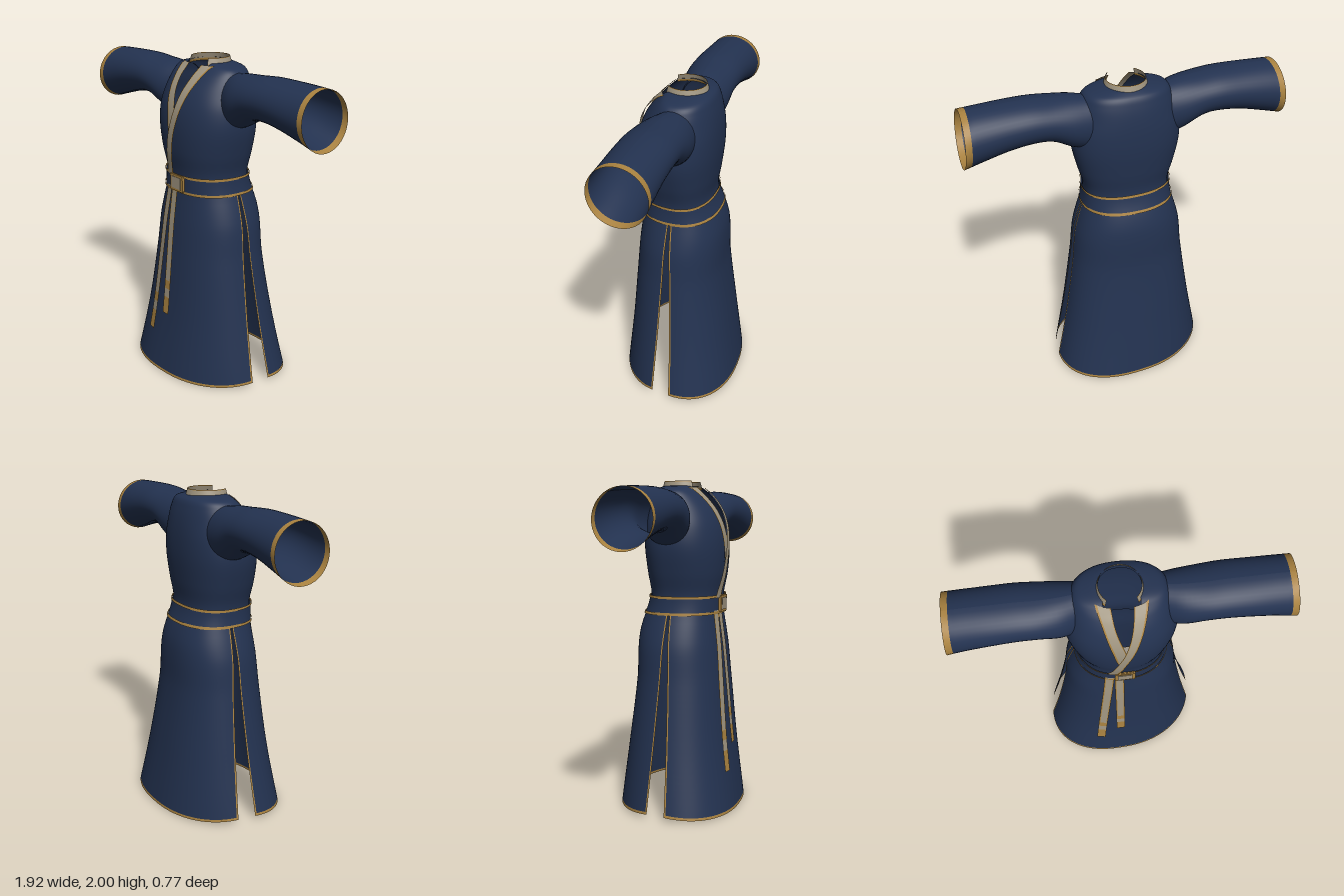
import * as THREE from 'three';

const cloth = (name, color) =>
  Object.assign(new THREE.MeshStandardMaterial({ color, side: THREE.DoubleSide }), { name });

// Smooth lookup in rows of [key, a, b, ...] sorted by key
function lookup(rows, k) {
  const n = rows.length;
  k = Math.min(Math.max(k, rows[0][0]), rows[n - 1][0]);
  let i = 0;
  while (i < n - 2 && k > rows[i + 1][0]) i++;
  const p = rows[i], q = rows[i + 1], h = q[0] - p[0], t = (k - p[0]) / h;
  const slope = (j, c) => {
    const a = rows[Math.max(j - 1, 0)], b = rows[Math.min(j + 1, n - 1)];
    return (b[c] - a[c]) / (b[0] - a[0]);
  };
  return p.slice(1).map((_, m) => {
    const c = m + 1;
    return p[c] * (1 + 2 * t) * (1 - t) ** 2 + slope(i, c) * h * t * (1 - t) ** 2 +
      q[c] * t * t * (3 - 2 * t) + slope(i + 1, c) * h * t * t * (t - 1);
  });
}

// Rounded cross-section: angle 0 is the front, a quarter turn is +x
const E = 0.87;
const bow = (v) => Math.sign(v) * Math.abs(v) ** E;
const ring = (a, [rx, zf, zb]) => {
  const c = Math.cos(a);
  return [rx * bow(Math.sin(a)), (c > 0 ? zf : zb) * bow(c)];
};
const angleAt = (x, rx) =>
  Math.sign(x) * Math.asin(Math.min(Math.abs(x) / rx, 0.99) ** (1 / E));

// Profiles: y, half width, front depth, back depth
const torsoRows = [
  [1.2, 0.265, 0.24, 0.2], [1.32, 0.26, 0.243, 0.18], [1.45, 0.293, 0.265, 0.196],
  [1.6, 0.322, 0.272, 0.21], [1.72, 0.318, 0.258, 0.21], [1.82, 0.29, 0.222, 0.2],
  [1.9, 0.265, 0.165, 0.182], [1.945, 0.232, 0.118, 0.162], [1.965, 0.16, 0.1, 0.13],
  [1.972, 0.115, 0.09, 0.11]];
const skirtRows = [
  [0, 0.505, 0.383, 0.383], [0.4, 0.425, 0.328, 0.322], [0.8, 0.36, 0.288, 0.268],
  [1, 0.337, 0.268, 0.262], [1.1, 0.312, 0.255, 0.252], [1.2, 0.28, 0.242, 0.222],
  [1.24, 0.268, 0.24, 0.205]];
const beltRows = [[1.2, 0.281, 0.25, 0.224], [1.26, 0.272, 0.25, 0.2], [1.32, 0.269, 0.25, 0.184]];

// Neck opening edges: y, x
const openLeft = [[1.32, -0.07], [1.53, -0.022], [1.7, 0.03], [1.87, 0.08], [1.96, 0.1]];
const openRight = [[1.53, -0.022], [1.7, -0.028], [1.87, -0.075], [1.96, -0.1]];

// Collar bands: y, inner x, outer x
const overBand = [[1.3, -0.105, -0.042], [1.53, -0.052, 0.002], [1.7, 0, 0.055],
  [1.87, 0.045, 0.112], [1.962, 0.06, 0.142]];
const underBand = [[1.53, -0.03, -0.036], [1.6, 0.01, -0.052], [1.7, 0.002, -0.07],
  [1.87, -0.045, -0.112], [1.962, -0.06, -0.142]];

// Sleeve: x, top y, bottom y, half depth, centre z
const sleeveRows = [[0.23, 1.925, 1.6, 0.13, -0.01], [0.33, 1.938, 1.628, 0.153, 0.005],
  [0.45, 1.945, 1.69, 0.16, 0.012], [0.56, 1.953, 1.7, 0.163, 0.012],
  [0.7, 1.953, 1.68, 0.165, 0.012], [0.85, 1.949, 1.64, 0.168, 0.01], [0.95, 1.944, 1.61, 0.172, 0.01]];

function torsoFront(x, y) {
  const r = lookup(torsoRows, y);
  return ring(angleAt(x, r[0]), r)[1];
}
function skirtPoint(a, y, grow = 0) {
  const t = Math.max(0, 1 - y / 1.2), wave = 1 - 0.06 * t * t * Math.sin(2 * a);
  const [x, z] = ring(a, lookup(skirtRows, y).map((v) => v + grow));
  return [x * wave, y, z * wave];
}
const skirtFront = (x, y) => skirtPoint(angleAt(x, lookup(skirtRows, y)[0]), y)[2];

export function createModel() {
  const model = new THREE.Group();
  model.name = 'robe';
  const navy = cloth('navy cloth', 0x233250);
  const gold = cloth('gold trim', 0xa8813f);
  const beige = cloth('beige silk', 0xa09580);

  // Surface patch f(u, v) over a rectangle of u and v
  function patch(name, mat, [u0, u1, nu], [v0, v1, nv], f) {
    const pos = [], idx = [];
    for (let j = 0; j <= nv; j++)
      for (let i = 0; i <= nu; i++) {
        pos.push(...f(u0 + (u1 - u0) * i / nu, v0 + (v1 - v0) * j / nv));
        if (i < nu && j < nv) {
          const a = j * (nu + 1) + i, b = a + nu + 1;
          idx.push(a, a + 1, b, a + 1, b + 1, b);
        }
      }
    const g = new THREE.BufferGeometry();
    g.setAttribute('position', new THREE.Float32BufferAttribute(pos, 3));
    g.setIndex(idx);
    g.computeVertexNormals();
    const mesh = new THREE.Mesh(g, mat);
    mesh.name = name;
    model.add(mesh);
  }

  // Torso, open along the wrapped neckline
  patch('torso', navy, [0, 1, 72], [0, 1, 48], (u, v) => {
    const y = 1.2 + 0.772 * (1 - (1 - v) ** 2), r = lookup(torsoRows, y);
    const xl = lookup(openLeft, y)[0];
    const xr = y < 1.53 ? xl : Math.min(xl, lookup(openRight, y)[0]);
    const a0 = angleAt(xl, r[0]), a1 = 2 * Math.PI + angleAt(xr, r[0]);
    const [x, z] = ring(a0 + (a1 - a0) * u, r);
    return [x, y, z];
  });

  // Sleeves with gold cuffs
  for (const s of [1, -1]) {
    const side = s > 0 ? 'left' : 'right';
    const f = (u, x) => {
      const [top, low, rz, zc] = lookup(sleeveRows, x), h = (top - low) / 2;
      const dy = h * Math.cos(u);
      return [s * (x - 0.07 * dy * (x - 0.23) / 0.72), (top + low) / 2 + dy, zc + rz * Math.sin(u)];
    };
    patch(side + 'Sleeve', navy, [0, 2 * Math.PI, 40], [0.23, 0.912, 24], f);
    patch(side + 'Cuff', gold, [0, 2 * Math.PI, 40], [0.912, 0.95, 2], f);
  }

  // Skirt panels, split at both sides, bordered in gold
  for (const front of [true, false]) {
    const name = front ? 'frontSkirt' : 'backSkirt';
    const f = (u, v) => {
      const t = Math.max(0, v), edge = front ? 0.01 + 0.045 * t : 0.06 * t;
      const hem = 0.004 + 0.026 * u * u, y = 1.23 + (hem - 1.23) * v;
      const r = lookup(skirtRows, y);
      const a = Math.acos((edge / (front ? r[1] : r[2])) ** (1 / E));
      return skirtPoint((front ? 0 : Math.PI) + u * a, y);
    };
    patch(name, navy, [-0.982, 0.982, 56], [0, 0.987, 32], f);
    patch(name + 'Hem', gold, [-1, 1, 56], [0.987, 1, 1], f);
    for (const s of [1, -1])
      patch(name + 'SlitTrim', gold, [s * 0.982, s, 1], [0, 0.987, 32], f);
  }
  // Edge of the inner wrap panel
  patch('innerWrapTrim', gold, [-0.226, -0.216, 1], [0.02, 1.2, 24],
    (x, y) => [x, y, skirtFront(x, y) - 0.008]);

  // Belt with two gold cords
  const belt = (grow) => (a, y) => {
    const [x, z] = ring(a, lookup(beltRows, y).map((v) => v + grow));
    return [x, y, z];
  };
  const turn = [0, 2 * Math.PI, 72];
  patch('belt', navy, turn, [1.205, 1.312, 4], belt(0));
  patch('beltLowerTrim', gold, turn, [1.204, 1.22, 1], belt(0.006));
  patch('beltUpperTrim', gold, turn, [1.302, 1.318, 1], belt(0.006));

  // Belt knot
  const box = (name, mat, w, h, d, x, z) => {
    const m = new THREE.Mesh(new THREE.BoxGeometry(w, h, d), mat);
    m.name = name;
    m.position.set(x, 1.262, z);
    model.add(m);
  };
  box('knotFrame', gold, 0.12, 0.1, 0.016, 0, 0.254);
  box('knotPanel', beige, 0.085, 0.072, 0.008, 0, 0.261);

  // Crossed collar bands, beige with gold edges
  const band = (name, rows, off) => {
    const f = (u, y) => {
      const [a, b] = lookup(rows, y), x = a + (b - a) * u;
      return [x, y, torsoFront(x, y) + off];
    };
    const span = [rows[0][0], 1.962, 36];
    patch(name, beige, [0.1, 0.84, 4], span, f);
    patch(name + 'InnerEdge', gold, [0, 0.1, 1], span, f);
    patch(name + 'OuterEdge', gold, [0.84, 1, 1], span, f);
  };
  band('overCollarBand', overBand, 0.016);
  band('underCollarBand', underBand, 0.009);

  // Standing collar round the back of the neck
  const neck = (a, y) => {
    const r = 0.128 - 0.3 * (y - 1.955);
    return [r * Math.sin(a), y, r * Math.cos(a) - 0.004];
  };
  const arc = [0.75, 2 * Math.PI - 0.75, 40];
  patch('neckCollar', beige, arc, [1.964, 1.995, 2], neck);
  patch('neckCollarLowerEdge', gold, arc, [1.95, 1.964, 1], neck);
  patch('neckCollarRim', gold, arc, [1.995, 2, 1], neck);

  // Hanging sash tails with gold bands at the ends
  const tail = (name, xTop, xEnd, yEnd, bands) => {
    const f = (u, y) => {
      const x = xTop + (xEnd - xTop) * (1.225 - y) / (1.225 - yEnd) + u * 0.056;
      return [x, y, skirtFront(x, y) + 0.011];
    };
    const [b0, b1, b2] = bands;
    patch(name, beige, [-0.34, 0.36, 2], [b2, 1.225, 20], f);
    patch(name + 'Edge', gold, [-0.5, -0.34, 1], [b2, 1.225, 20], f);
    patch(name + 'Edge', gold, [0.36, 0.5, 1], [b2, 1.225, 20], f);
    patch(name + 'UpperBand', gold, [-0.5, 0.5, 2], [b1, b2, 2], f);
    patch(name + 'Gap', beige, [-0.5, 0.5, 2], [b0, b1, 2], f);
    patch(name + 'Tip', gold, [-0.5, 0.5, 2], [yEnd, b0, 3], f);
  };
  tail('longSashTail', -0.09, -0.173, 0.25, [0.375, 0.44, 0.5]);
  tail('shortSashTail', -0.033, -0.033, 0.4, [0.51, 0.565, 0.62]);

  return model;
}
